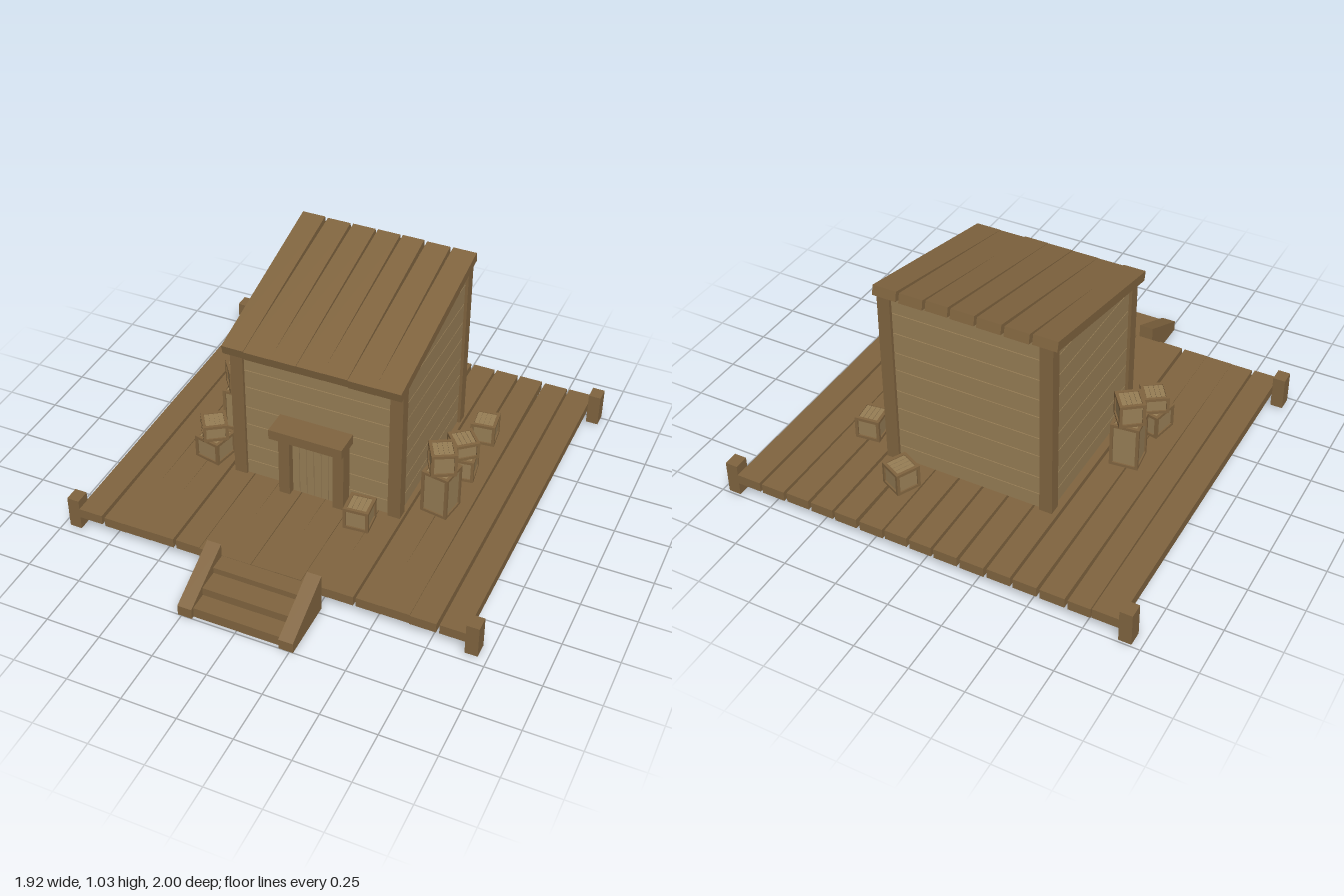
import * as THREE from 'three';

const timber = new THREE.MeshStandardMaterial({ color: 0x80643f, flatShading: true });
const board = new THREE.MeshStandardMaterial({ color: 0x967d55, flatShading: true });

function add(parent, name, geometry, material) {
  const mesh = new THREE.Mesh(geometry, material);
  mesh.name = name;
  parent.add(mesh);
  return mesh;
}

// Box given by its limits on each axis
function block(parent, name, material, x0, x1, y0, y1, z0, z1) {
  const mesh = add(parent, name, new THREE.BoxGeometry(x1 - x0, y1 - y0, z1 - z0), material);
  mesh.position.set((x0 + x1) / 2, (y0 + y1) / 2, (z0 + z1) / 2);
  return mesh;
}

// Side profile in (z, y), extruded along x from x0 to x1
function profile(parent, name, material, points, x0, x1) {
  const shape = new THREE.Shape(points.map(([z, y]) => new THREE.Vector2(-z, y)));
  const geometry = new THREE.ExtrudeGeometry(shape, { depth: x1 - x0, bevelEnabled: false });
  geometry.rotateY(Math.PI / 2).translate(x0, 0, 0);
  return add(parent, name, geometry, material);
}

// Row of planks along z; each seam is [x, gap at back, gap at front]
function plankRow(parent, name, seams, thickness, length, drop) {
  for (let i = 0; i < seams.length - 1; i++) {
    const [a, aBack, aFront] = seams[i], [b, bBack, bFront] = seams[i + 1];
    const geometry = new THREE.BoxGeometry(1, thickness, length);
    const p = geometry.attributes.position;
    for (let v = 0; v < p.count; v++) {
      const back = p.getZ(v) < 0;
      p.setX(v, p.getX(v) < 0 ? a + (back ? aBack : aFront) / 2 : b - (back ? bBack : bFront) / 2);
    }
    add(parent, name, geometry, timber).position.y = -drop * ((i * 3) % 4) / 3;
  }
}

// Crate with a recessed core, twelve edge bars and a slatted lid
function crate(parent, x, y, z, height, turn, w = 0.116) {
  const g = new THREE.Group();
  g.name = 'crate';
  g.position.set(x, y, z);
  g.rotation.y = turn;
  parent.add(g);
  const h = w / 2, t = 0.014, inset = 0.007;
  block(g, 'crateCore', board, -h + inset, h - inset, inset, height - inset, -h + inset, h - inset);
  for (const s of [-1, 1]) {
    const a = s < 0 ? -h : h - t, b = a + t;
    for (const y0 of [0, height - t]) {
      block(g, 'crateRail', timber, -h, h, y0, y0 + t, a, b);
      block(g, 'crateRail', timber, a, b, y0, y0 + t, -h + t, h - t);
    }
    for (const c of [-h, h - t]) block(g, 'cratePost', timber, a, b, t, height - t, c, c + t);
  }
  const span = (w - 2 * t) / 4;
  for (let i = 0; i < 4; i++) {
    const x0 = -h + t + i * span;
    block(g, 'lidSlat', board, x0 + 0.001, x0 + span - 0.001, height - inset, height - 0.003, -h + t, h - t);
  }
}

export function createModel() {
  const model = new THREE.Group();
  const FLOOR = 0.125;

  // Deck
  const deck = new THREE.Group();
  deck.name = 'deck';
  deck.position.set(0, 0.101, -0.14);
  model.add(deck);
  plankRow(deck, 'deckPlank', [
    [-0.907, 0, 0], [-0.785, 0.006, 0.014], [-0.675, 0.014, -0.002], [-0.55, 0.014, -0.002],
    [-0.43, 0.012, 0.014], [-0.31, 0.016, -0.002], [-0.185, 0.014, -0.002], [-0.063, 0.012, 0.003],
    [0.052, 0.014, -0.002], [0.17, 0.012, -0.002], [0.295, 0.016, -0.002], [0.415, 0.012, 0.012],
    [0.535, 0.014, -0.002], [0.66, 0.016, -0.002], [0.785, 0.012, 0.014], [0.905, 0, 0],
  ], 0.047, 1.72, 0.004);
  for (const s of [-1, 1]) for (const z of [-1, 0.652]) {
    const x = s < 0 ? -0.962 : 0.905;
    block(model, 'deckPost', timber, x, x + 0.057, 0.012, 0.168, z, z + 0.068);
  }

  // Steps
  for (const x of [-0.267, 0.2]) {
    profile(model, 'stepSide', timber, [[0.72, 0], [1, 0], [1, 0.05], [0.72, 0.185]], x, x + 0.066);
  }
  [[0.9, 0.985, 0, 0.05], [0.8, 0.9, 0.045, 0.09], [0.72, 0.8, 0.08, 0.12]].forEach(([z0, z1, y0, y1]) =>
    block(model, 'stepTread', timber, -0.2, 0.2, y0, y1, z0, z1));

  // Hut corner posts
  for (const x of [-0.402, 0.343]) {
    block(model, 'frontCorner', timber, x, x + 0.059, FLOOR, 0.832, 0.145, 0.2);
    block(model, 'backCorner', timber, x, x + 0.059, FLOOR, 0.99, -0.592, -0.537);
  }

  // Hut wall boards; side boards are cut along the roof slope
  const slope = 0.221, gap = 0.004, zBack = -0.56, zFront = 0.17;
  const under = (z) => 0.82 + slope * (0.24 - z);
  const cut = (y) => Math.min(zFront, 0.24 - (y - 0.82) / slope);
  const rows = [FLOOR, 0.2, 0.29, 0.405, 0.5, 0.61, 0.7, 0.8, 0.9, 1.0];
  for (let i = 0; i < rows.length - 1; i++) {
    const y0 = rows[i], y1 = rows[i + 1] - gap;
    if (y0 < 0.8) block(model, 'frontBoard', board, -0.35, 0.35, y0, Math.min(y1, 0.825), 0.155, 0.185);
    if (y0 < 0.97) block(model, 'backBoard', board, -0.35, 0.35, y0, Math.min(y1, 0.99), -0.577, -0.547);
    const zLow = cut(y0), top = Math.min(y1, under(zBack));
    const outline = [[zBack, y0], [zLow, y0], [zLow, Math.min(y1, under(zLow))],
      [Math.max(zBack, cut(y1)), top], [zBack, top]];
    const points = outline.filter((p, k) => {
      const q = outline[(k + 1) % outline.length];
      return Math.hypot(p[0] - q[0], p[1] - q[1]) > 1e-4;
    });
    for (const x of [-0.388, 0.358]) profile(model, 'sideBoard', board, points, x, x + 0.03);
  }

  // Sloping roof
  const roof = new THREE.Group();
  roof.name = 'roof';
  roof.position.set(0, 0.919, -0.18);
  roof.rotation.x = 0.217;
  model.add(roof);
  plankRow(roof, 'roofPlank', [
    [-0.424, -0.01, 0.02], [-0.312, 0.014, -0.002], [-0.187, 0.014, 0], [-0.065, 0.012, 0.002],
    [0.055, 0.012, 0], [0.17, 0.014, 0], [0.293, 0.014, 0], [0.41, 0, 0],
  ], 0.045, 0.872, 0.004);

  // Door
  for (const x of [-0.157, 0.102]) block(model, 'doorPost', timber, x, x + 0.052, FLOOR, 0.465, 0.18, 0.25);
  block(model, 'doorLintel', timber, -0.175, 0.17, 0.462, 0.51, 0.18, 0.305);
  const doorWidth = 0.208 / 6;
  for (let i = 0; i < 6; i++) {
    const x = -0.106 + i * doorWidth;
    block(model, 'doorBoard', board, x + 0.0015, x + doorWidth - 0.0015, FLOOR, 0.465, 0.18, 0.215);
  }

  // Crates: x, z, lower height, lower turn, then upper height and turn where stacked
  [
    [-0.53, -0.12, 0.22, 0.12, 0.113, 0.65],
    [-0.537, 0.13, 0.115, -0.2, 0.083, 0.6],
    [0.535, -0.21, 0.115, 0.15, 0.083, 0.7],
    [0.532, 0.05, 0.22, -0.15, 0.113, 0.5],
    [0.25, 0.29, 0.11, 0.08],
    [0.543, -0.485, 0.11, 0.12],
    [0.25, -0.72, 0.11, -0.45],
  ].forEach(([x, z, h, turn, h2, turn2]) => {
    crate(model, x, FLOOR, z, h, turn, h2 ? 0.13 : 0.116);
    if (h2) crate(model, x, FLOOR + h, z, h2, turn2, 0.115);
  });

  return model;
}
